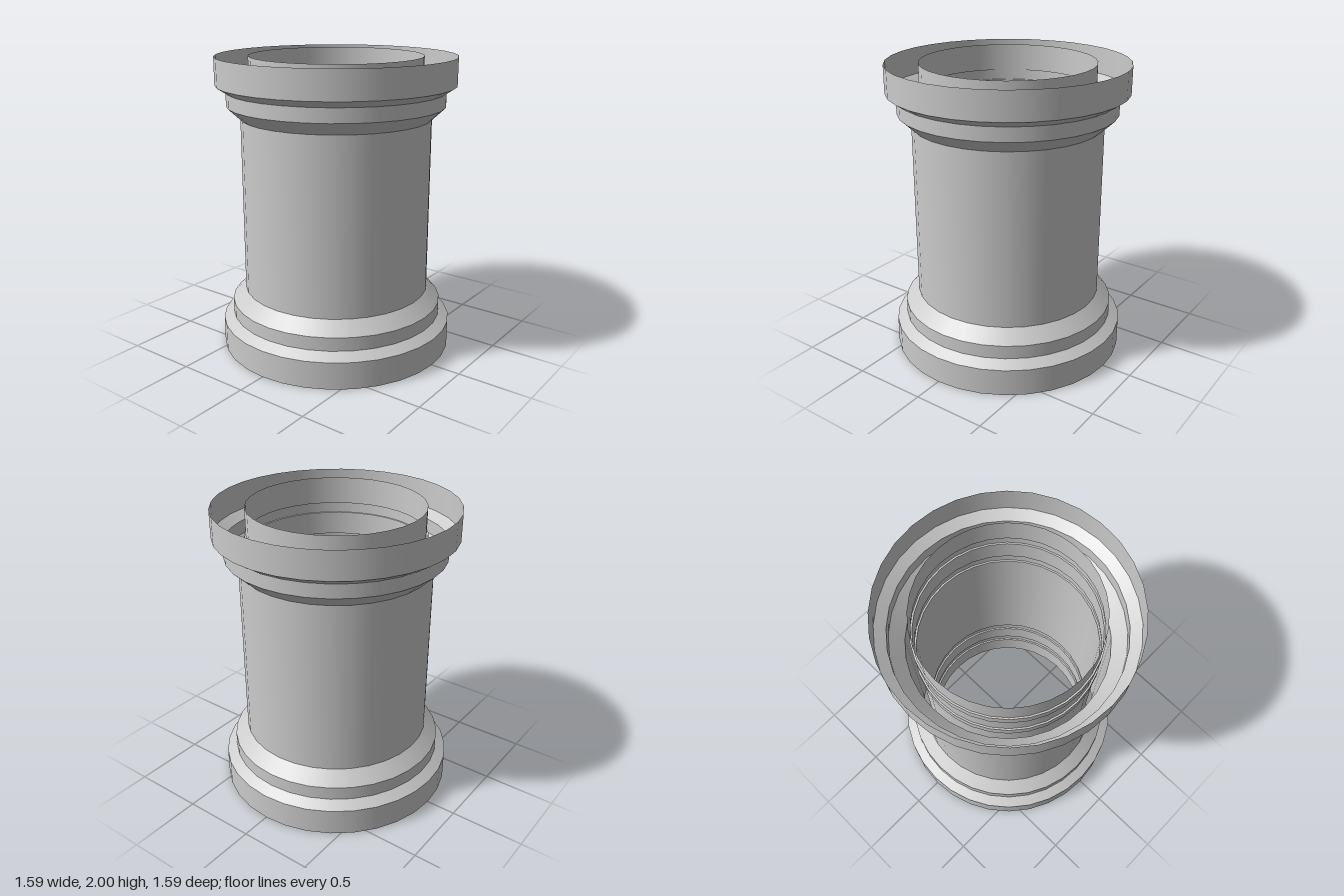
import * as THREE from 'three';
import { mergeGeometries } from 'three/addons/utils/BufferGeometryUtils.js';

const SIDES = 32;
const HEIGHT = 2;

// Thin revolved wall: one band per profile step, so steps stay crisp and the round stays smooth.
function revolvedWall(name, profile, material) {
  const bands = [];
  for (let i = 0; i < profile.length - 1; i++) {
    const pair = [profile[i], profile[i + 1]].map(([r, y]) => new THREE.Vector2(r, y));
    bands.push(new THREE.LatheGeometry(pair, SIDES));
  }
  const mesh = new THREE.Mesh(mergeGeometries(bands), material);
  mesh.name = name;
  return mesh;
}

// Completes a lower half profile with its mirror image about mid height.
function mirrored(half) {
  return [...half, ...half.map(([r, y]) => [r, HEIGHT - y]).reverse()];
}

export function createModel() {
  const group = new THREE.Group();
  group.name = 'flangedSleeve';
  const material = new THREE.MeshStandardMaterial({ color: 0xcccccc, side: THREE.DoubleSide });

  // Outer shell: wide collar, stepped shoulder, straight barrel
  const shell = mirrored([
    [0.797, 0], [0.797, 0.185], [0.728, 0.23], [0.728, 0.322], [0.638, 0.407],
  ]);
  group.add(revolvedWall('outerShell', shell, material));

  // Inner tube: open at both ends, with two shallow raised bands near each end
  const inner = 0.577, raised = 0.588;
  const tube = mirrored([
    [inner, 0],
    [inner, 0.182], [raised, 0.182], [raised, 0.252], [inner, 0.252],
    [inner, 0.408], [raised, 0.408], [raised, 0.478], [inner, 0.478],
  ]);
  group.add(revolvedWall('innerTube', tube, material));

  return group;
}
